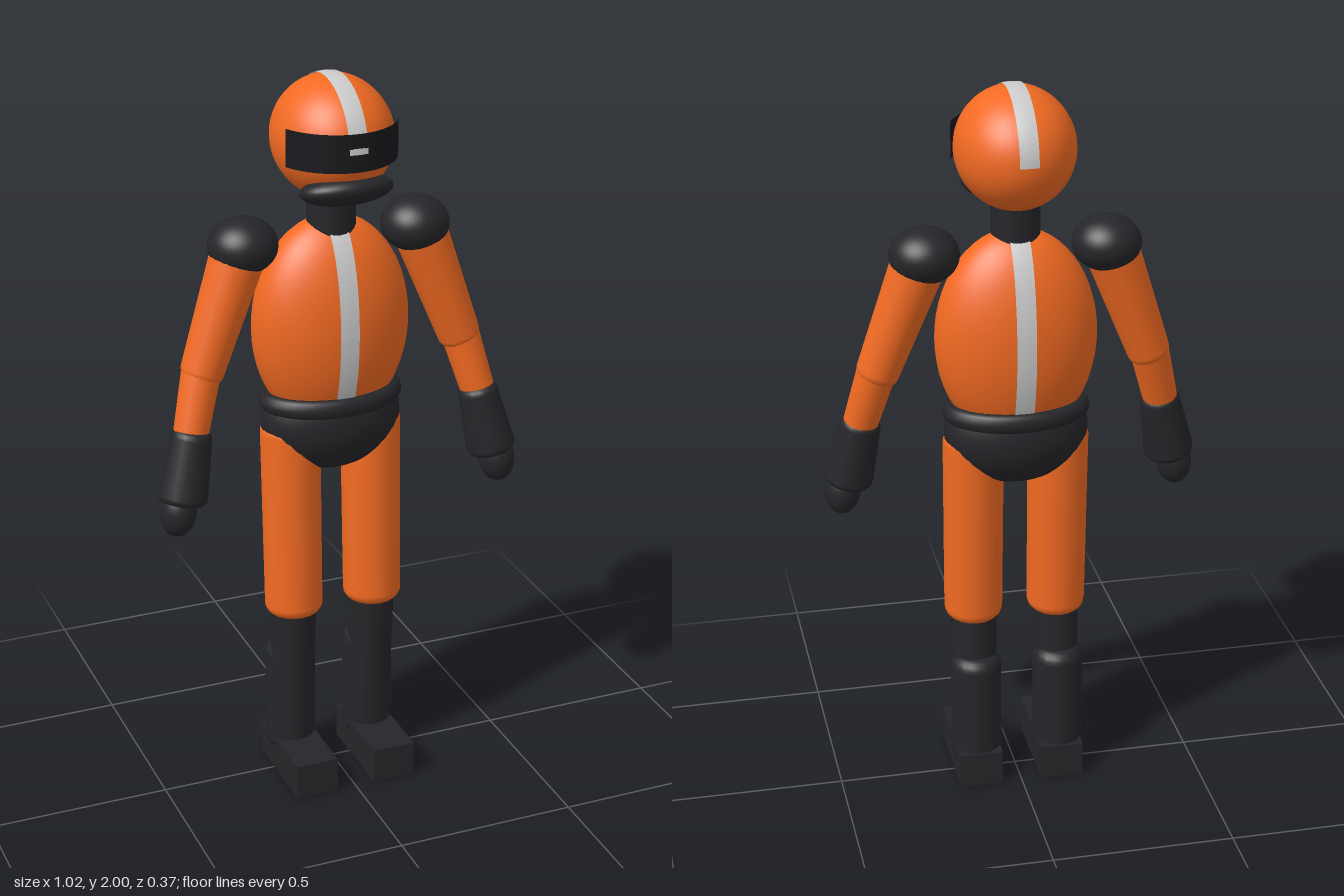
import * as THREE from 'three';

const material = (color) => new THREE.MeshStandardMaterial({ color });
const orange = material(0xf26a22);
const black = material(0x26262a);
const dark = material(0x18191c);
const white = material(0xe4e4e4);
dark.side = THREE.DoubleSide;
white.side = THREE.DoubleSide;

function add(parent, name, geometry, mat) {
  const mesh = new THREE.Mesh(geometry, mat);
  mesh.name = name;
  parent.add(mesh);
  return mesh;
}

function ellipsoid(parent, name, [x, y, z], [rx, ry, rz], mat) {
  const mesh = add(parent, name, new THREE.SphereGeometry(1, 40, 28), mat);
  mesh.scale.set(rx, ry, rz);
  mesh.position.set(x, y, z);
  return mesh;
}

// Tapered limb with rounded rims, running from point a down to point b
function limb(parent, name, a, b, ra, rb, round, mat) {
  const from = new THREE.Vector3(...a), to = new THREE.Vector3(...b);
  const axis = from.clone().sub(to);
  const h = axis.length();
  const profile = [new THREE.Vector2(0, 0)];
  for (let i = 0; i <= 5; i++) {
    const t = (i / 5) * Math.PI / 2;
    profile.push(new THREE.Vector2(rb - round + round * Math.sin(t), round * (1 - Math.cos(t))));
  }
  for (let i = 0; i <= 5; i++) {
    const t = (i / 5) * Math.PI / 2;
    profile.push(new THREE.Vector2(ra - round + round * Math.cos(t), h - round + round * Math.sin(t)));
  }
  profile.push(new THREE.Vector2(0, h));
  const mesh = add(parent, name, new THREE.LatheGeometry(profile, 18), mat);
  mesh.position.copy(to);
  mesh.quaternion.setFromUnitVectors(new THREE.Vector3(0, 1, 0), axis.normalize());
  return mesh;
}

// Stripe of constant width wrapped over an ellipsoid, from the front over the top
function stripe(parent, name, [cx, cy, cz], [rx, ry, rz], halfWidth, arc) {
  const geometry = new THREE.PlaneGeometry(2, 1, 4, 72);
  const pos = geometry.attributes.position;
  const lift = 0.003;
  for (let i = 0; i < pos.count; i++) {
    const x = pos.getX(i) * halfWidth;
    const t = (0.5 - pos.getY(i)) * arc;
    const k = Math.sqrt(1 - (x / rx) ** 2);
    pos.setXYZ(i, cx + x, cy + (ry * k + lift) * Math.sin(t), cz + (rz * k + lift) * Math.cos(t));
  }
  geometry.computeVertexNormals();
  add(parent, name, geometry, white);
}

function buildHead() {
  const head = new THREE.Group();
  head.name = 'head';
  const center = [0, 1.836, 0], radii = [0.158, 0.161, 0.18];
  ellipsoid(head, 'helmet', center, radii, orange);
  stripe(head, 'helmetStripe', center, radii, 0.025, Math.PI);
  // Curved visor band around the front
  const spread = 1.17;
  const visor = add(head, 'visor',
    new THREE.CylinderGeometry(1, 1, 0.1, 40, 1, true, -spread, spread * 2), dark);
  visor.scale.set(0.167, 1, 0.182);
  visor.position.set(0, 1.84, 0);
  const chin = ellipsoid(head, 'chinGuard', [0, 1.722, 0.1], [0.125, 0.042, 0.084], black);
  chin.rotation.x = -0.28;
  return head;
}

function buildBody() {
  const body = new THREE.Group();
  body.name = 'body';
  const neck = add(body, 'neck', new THREE.CylinderGeometry(0.065, 0.065, 0.18, 24), black);
  neck.position.set(0, 1.64, -0.006);
  const center = [0, 1.325, -0.013], radii = [0.217, 0.298, 0.14];
  ellipsoid(body, 'torso', center, radii, orange);
  stripe(body, 'torsoStripe', center, radii, 0.026, Math.PI * 2);
  const belt = add(body, 'belt', new THREE.TorusGeometry(0.172, 0.027, 14, 48), black);
  belt.rotation.x = Math.PI / 2;
  belt.scale.set(1, 0.68, 1);
  belt.position.set(0, 1.12, -0.013);
  ellipsoid(body, 'pelvis', [0, 1.06, -0.013], [0.195, 0.15, 0.13], black);
  return body;
}

// s is 1 for the left side, -1 for the right
function buildArm(s) {
  const arm = new THREE.Group();
  arm.name = s > 0 ? 'leftArm' : 'rightArm';
  ellipsoid(arm, 'shoulderPad', [s * 0.241, 1.567, -0.014], [0.092, 0.075, 0.092], black);
  limb(arm, 'upperArm', [s * 0.246, 1.57, -0.013], [s * 0.374, 1.222, 0.008], 0.073, 0.058, 0.025, orange);
  limb(arm, 'forearm', [s * 0.362, 1.27, 0.003], [s * 0.424, 1.04, 0.047], 0.053, 0.046, 0.02, orange);
  limb(arm, 'glove', [s * 0.407, 1.1, 0.04], [s * 0.449, 0.905, 0.062], 0.055, 0.068, 0.022, black);
  const hand = ellipsoid(arm, 'hand', [s * 0.461, 0.886, 0.064], [0.049, 0.07, 0.056], black);
  hand.rotation.z = s * 0.1;
  return arm;
}

function buildLeg(s) {
  const leg = new THREE.Group();
  leg.name = s > 0 ? 'leftLeg' : 'rightLeg';
  const x = s * 0.116;
  limb(leg, 'thigh', [x, 1.06, -0.012], [x, 0.493, 0.008], 0.082, 0.08, 0.032, orange);
  limb(leg, 'shin', [x, 0.54, 0.007], [x, 0.03, -0.02], 0.063, 0.06, 0.01, black);
  limb(leg, 'calf', [x, 0.385, -0.024], [x, 0.055, -0.026], 0.07, 0.07, 0.035, black);
  const boot = add(leg, 'boot', new THREE.BoxGeometry(0.12, 0.1, 0.28), black);
  boot.position.set(s * 0.115, 0.05, 0.04);
  return leg;
}

export function createModel() {
  const model = new THREE.Group();
  model.name = 'suitedFigure';
  model.add(buildHead(), buildBody());
  for (const s of [1, -1]) model.add(buildArm(s), buildLeg(s));
  return model;
}
